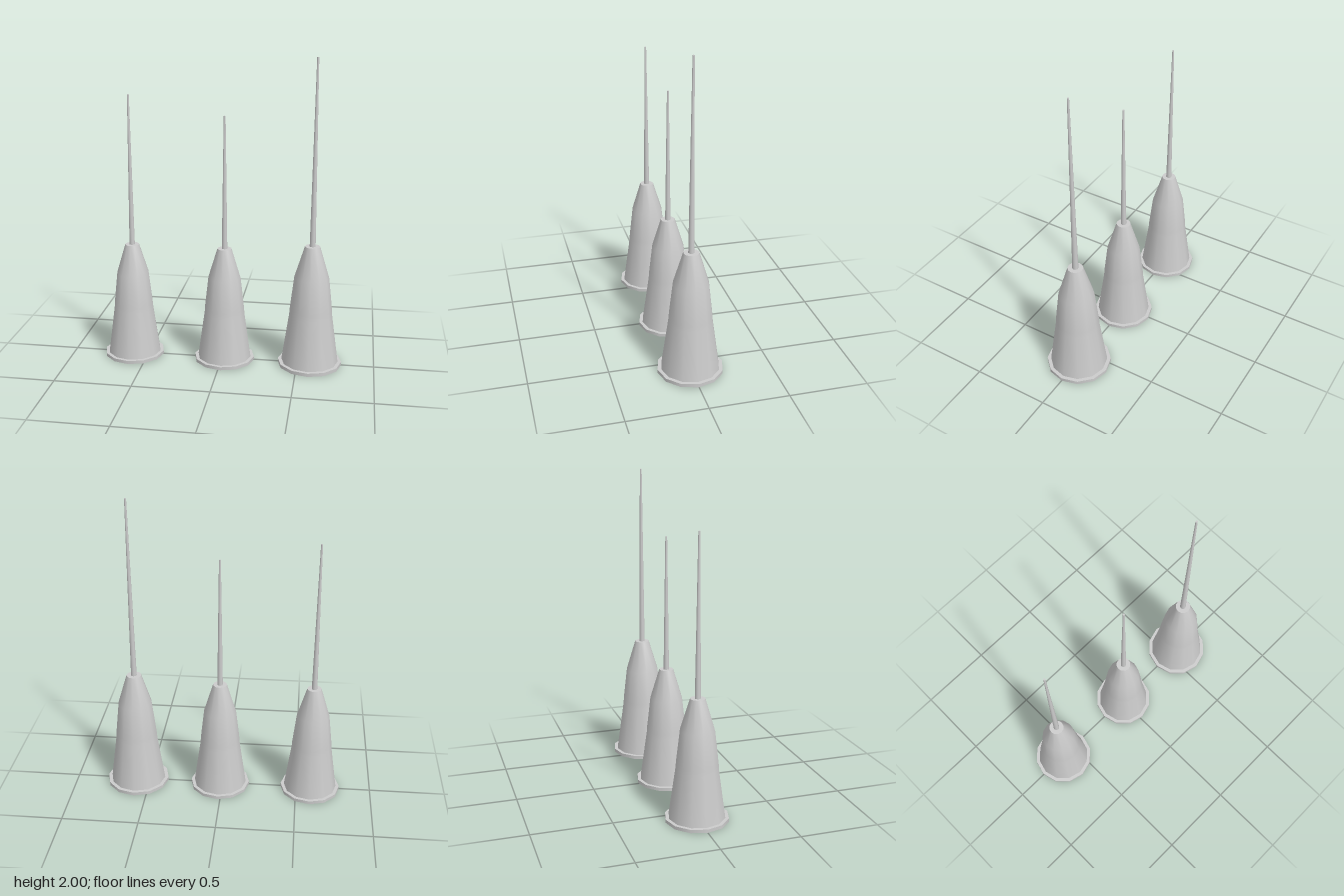
import * as THREE from 'three';

const SIDES = 12;

// Bell-shaped body profile: [radius, height]
const BODY = [[0.175, 0.02], [0.132, 0.325], [0.13, 0.36], [0.106, 0.57], [0.046, 0.767]];

export function createModel() {
  const model = new THREE.Group();
  const material = new THREE.MeshStandardMaterial({ color: 0xcccccc });

  function add(parent, name, geometry, y = 0) {
    const mesh = new THREE.Mesh(geometry, material);
    mesh.name = name;
    mesh.position.y = y;
    parent.add(mesh);
    return mesh;
  }

  // One spire: flat base disc, flared body with a flat top, slender tapering needle
  function spire(name, x, scale, tipY) {
    const group = new THREE.Group();
    group.name = name;
    group.position.x = x;

    const discHeight = 0.021 * scale;
    add(group, 'baseDisc',
      new THREE.CylinderGeometry(0.197 * scale, 0.197 * scale, discHeight, SIDES), discHeight / 2);

    const profile = BODY.map(([r, y]) => new THREE.Vector2(r * scale, y * scale));
    add(group, 'body', new THREE.LatheGeometry(profile, SIDES));

    const top = profile[profile.length - 1];
    const cap = new THREE.CircleGeometry(top.x, SIDES);
    cap.rotateX(-Math.PI / 2);
    add(group, 'bodyTop', cap, top.y);

    const length = tipY - top.y;
    add(group, 'needle',
      new THREE.CylinderGeometry(0.006 * scale, 0.018 * scale, length, SIDES), top.y + length / 2);

    model.add(group);
  }

  spire('rightSpire', -0.595, 1, 1.75);
  spire('middleSpire', 0.016, 1, 1.63);
  spire('leftSpire', 0.581, 1.055, 2);

  return model;
}
